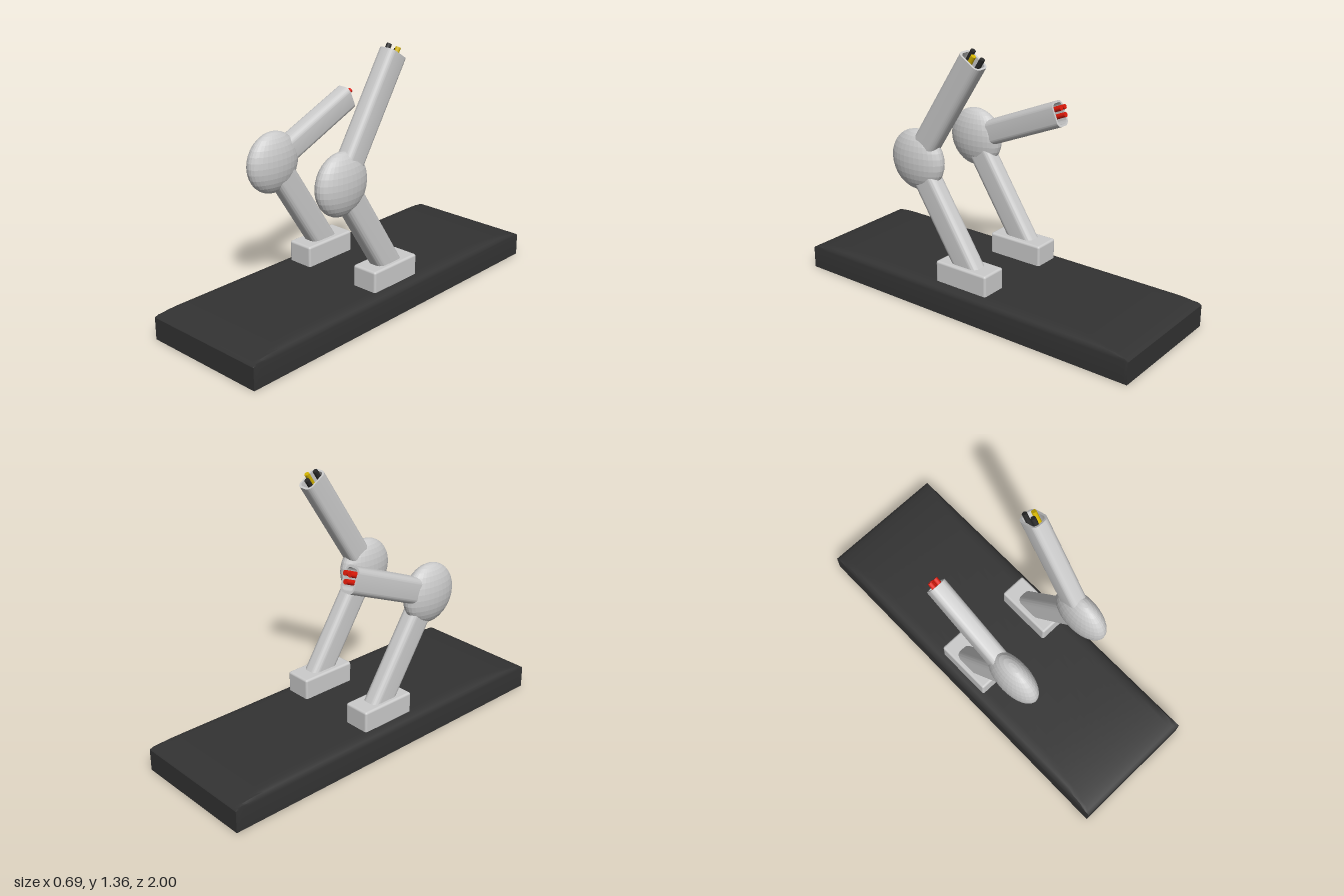
import * as THREE from 'three';
import { toCreasedNormals } from 'three/addons/utils/BufferGeometryUtils.js';
import { RoundedBoxGeometry } from 'three/addons/geometries/RoundedBoxGeometry.js';

const mat = (color) => new THREE.MeshStandardMaterial({ color });
const grey = mat(0xcccccc);
const dark = mat(0x333333);
const black = mat(0x2a2a2a);
const yellow = mat(0xd4b400);
const red = mat(0xdd1a0a);

function add(parent, name, geometry, material, x = 0, y = 0, z = 0) {
  const mesh = new THREE.Mesh(geometry, material);
  mesh.name = name;
  mesh.position.set(x, y, z);
  parent.add(mesh);
  return mesh;
}

// Slab whose top curves down to a straight rim on all four sides
function baseGeometry() {
  const W = 0.345, L = 1, rim = 0.115, crown = 0.035;
  const geo = new THREE.BoxGeometry(2, 1, 2, 24, 1, 32);
  const p = geo.attributes.position;
  const ease = (t) => Math.sin((t * Math.PI) / 2);
  const fall = (d, start, width) => {
    const t = Math.min(1, Math.max(0, (d - start) / width));
    return Math.sqrt(1 - t * t);
  };
  for (let i = 0; i < p.count; i++) {
    const x = W * ease(p.getX(i)), z = L * ease(p.getZ(i));
    const lift = Math.min(fall(Math.abs(x), W - 0.05, 0.05), fall(Math.abs(z), 0.6, 0.4));
    p.setXYZ(i, x, p.getY(i) > 0 ? rim + crown * lift : 0, z);
  }
  return toCreasedNormals(geo, 0.6);
}

function roundedRect(target, w, h, r) {
  const a = w / 2, b = h / 2;
  target.moveTo(a, -b + r);
  target.lineTo(a, b - r);
  target.absarc(a - r, b - r, r, 0, Math.PI / 2);
  target.lineTo(-a + r, b);
  target.absarc(-a + r, b - r, r, Math.PI / 2, Math.PI);
  target.lineTo(-a, -b + r);
  target.absarc(-a + r, -b + r, r, Math.PI, Math.PI * 1.5);
  target.lineTo(a - r, -b);
  target.absarc(a - r, -b + r, r, Math.PI * 1.5, Math.PI * 2);
  return target;
}

// Hollow rounded tube from one point to another; returns its group (local z runs along it)
function limb(parent, name, from, to, depth) {
  const a = new THREE.Vector3(...from), b = new THREE.Vector3(...to);
  const dir = b.clone().sub(a), length = dir.length();
  dir.normalize();
  const side = new THREE.Vector3(1, 0, 0);
  const group = new THREE.Group();
  group.name = name;
  group.position.copy(a);
  group.quaternion.setFromRotationMatrix(
    new THREE.Matrix4().makeBasis(side, dir.clone().cross(side), dir));
  const shape = roundedRect(new THREE.Shape(), 0.094, depth, 0.032);
  shape.holes.push(roundedRect(new THREE.Path(), 0.072, depth - 0.022, 0.022));
  const geo = new THREE.ExtrudeGeometry(shape, { depth: length, bevelEnabled: false, curveSegments: 6 });
  add(group, name + 'Tube', toCreasedNormals(geo, 0.6), grey);
  parent.add(group);
  return { group, length };
}

// Wire ends poking out of the open tube: [x, y, material]
function wires({ group, length }, list, out) {
  for (const [x, y, material] of list) {
    const wire = add(group, 'wire', new THREE.CylinderGeometry(0.013, 0.013, 0.2, 12), material,
      x, y, length + out - 0.1);
    wire.rotation.x = Math.PI / 2;
  }
}

function leg(name, footX, lowerX, kneeX, tip, wireList, out) {
  const group = new THREE.Group();
  group.name = name;
  const kneeY = 0.745, kneeZ = 0.318;
  add(group, 'foot', new RoundedBoxGeometry(0.145, 0.13, 0.315, 3, 0.012), grey, footX, 0.194, -0.002);
  limb(group, 'lowerLeg', [lowerX, 0.2, -0.034], [lowerX, kneeY, kneeZ], 0.14);
  const kneeMat = grey.clone();
  kneeMat.flatShading = true;
  add(group, 'knee', new THREE.SphereGeometry(1, 32, 16), kneeMat, kneeX, kneeY, kneeZ)
    .scale.set(0.075, 0.158, 0.16);
  wires(limb(group, 'upperLeg', [kneeX, kneeY, kneeZ], [kneeX, ...tip], 0.133), wireList, out);
  return group;
}

export function createModel() {
  const model = new THREE.Group();
  model.name = 'legsOnBase';
  add(model, 'base', baseGeometry(), dark);
  model.add(leg('leftLeg', 0.225, 0.227, 0.226, [1.306, -0.04],
    [[-0.014, -0.032, black], [-0.014, 0.032, black], [0.018, 0, yellow]], 0.03));
  model.add(leg('rightLeg', -0.223, -0.226, -0.237, [0.97, -0.214],
    [[-0.018, -0.026, red], [0.014, -0.026, red], [-0.004, 0.012, red]], 0.03));
  return model;
}
